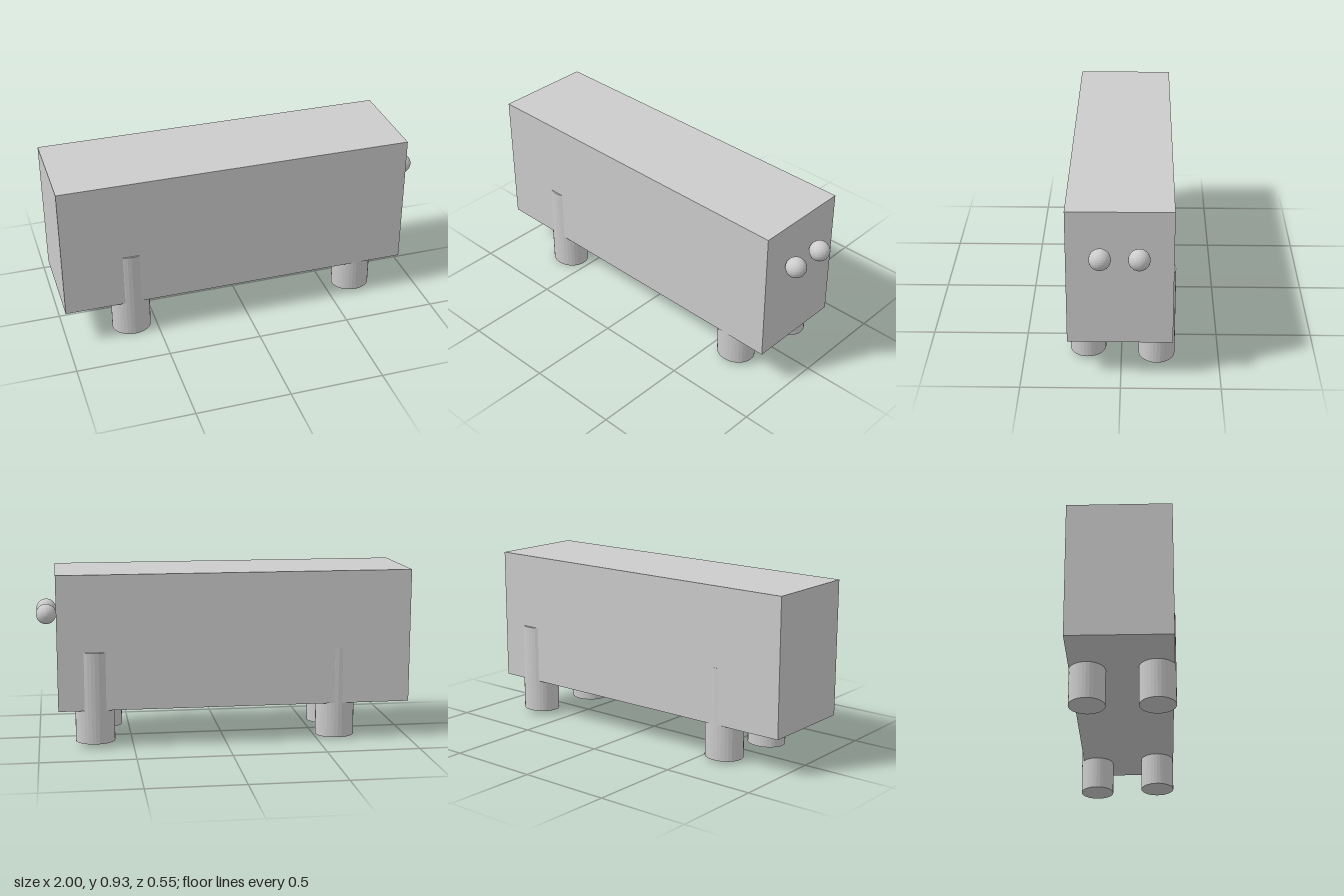
import * as THREE from 'three';

export function createModel() {
  const model = new THREE.Group();
  const material = new THREE.MeshStandardMaterial({ color: 0xcccccc, flatShading: true });

  const add = (name, geometry, x, y, z) => {
    const mesh = new THREE.Mesh(geometry, material);
    mesh.name = name;
    mesh.position.set(x, y, z);
    model.add(mesh);
    return mesh;
  };

  // Long block body
  add('body', new THREE.BoxGeometry(1.895, 0.722, 0.526), -0.0525, 0.564, 0.004);

  // Slightly oval legs, sunk into the body and set a little unevenly
  const legHeight = 0.492;
  const legGeometry = new THREE.CylinderGeometry(1, 1, legHeight, 32);
  const legs = [
    ['rearLegFrontSide', -0.635, 0, 0.183],
    ['rearLegBackSide', -0.61, 0.011, -0.168],
    ['headLegFrontSide', 0.645, 0.021, 0.172],
    ['headLegBackSide', 0.7, 0.023, -0.181],
  ];
  for (const [name, x, bottom, z] of legs) {
    add(name, legGeometry, x, bottom + legHeight / 2, z).scale.set(0.105, 1, 0.093);
  }

  // Ball eyes touching the end face
  const eyeGeometry = new THREE.SphereGeometry(0.0535, 32, 16);
  add('eyeFrontSide', eyeGeometry, 0.9465, 0.698, 0.099);
  add('eyeBackSide', eyeGeometry, 0.9465, 0.698, -0.09);

  return model;
}
